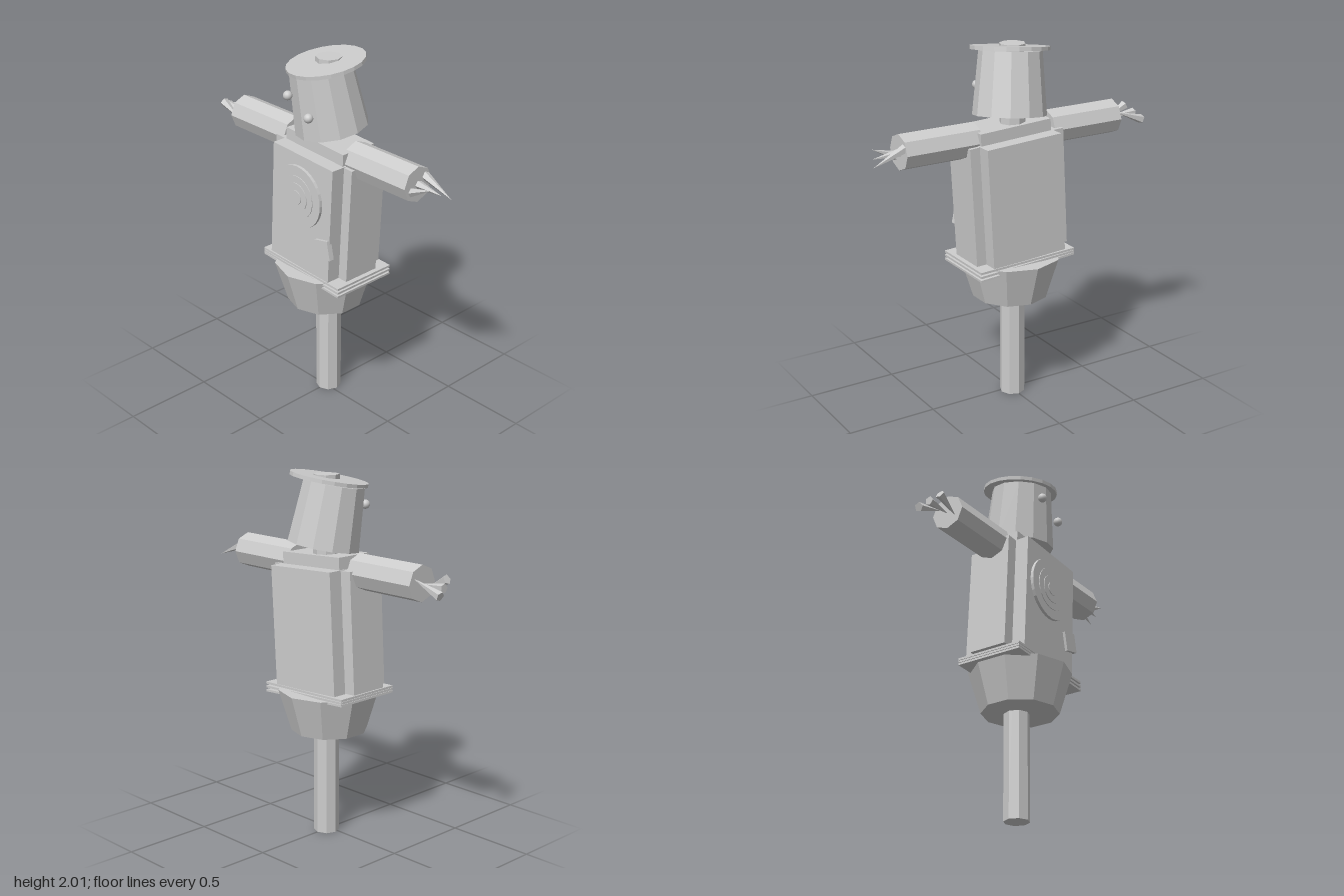
import * as THREE from 'three';

export function createModel() {
  const model = new THREE.Group();
  model.name = 'scarecrow';
  const grey = new THREE.MeshStandardMaterial({ color: 0xcccccc });
  grey.name = 'plainGrey';

  function add(name, geometry, position = [0, 0, 0], rotation = [0, 0, 0], parent = model, flat = true) {
    let geo = geometry;
    if (flat) {
      geo = geometry.index ? geometry.toNonIndexed() : geometry;
      geo.computeVertexNormals();
    }
    const mesh = new THREE.Mesh(geo, grey);
    mesh.name = name;
    mesh.position.set(...position);
    mesh.rotation.set(...rotation);
    parent.add(mesh);
    return mesh;
  }
  const cyl = (top, bottom, height, sides) => new THREE.CylinderGeometry(top, bottom, height, sides);
  const deg = THREE.MathUtils.degToRad;

  // Pole running right through to the hat
  add('pole', cyl(0.07, 0.07, 1.99, 8), [0, 0.995, -0.022]);

  // Ten-sided skirt
  add('skirt', cyl(0.28, 0.21, 0.23, 10), [0, 0.705, 0]);

  // Leaning torso made of crossed boxes
  const torso = new THREE.Group();
  torso.name = 'torso';
  torso.position.set(0.005, 1.175, 0);
  torso.rotation.z = deg(-3.1);
  model.add(torso);
  add('torsoFrontBack', new THREE.BoxGeometry(0.45, 0.66, 0.38), [0.005, 0, 0], [0, 0, 0], torso);
  add('torsoSides', new THREE.BoxGeometry(0.575, 0.655, 0.22), [0, 0, 0], [0, 0, 0], torso);
  add('shoulders', new THREE.BoxGeometry(0.43, 0.1, 0.22), [0.005, 0.345, 0], [0, 0, 0], torso);

  // Stacked ragged belt plates
  for (let i = 0; i < 3; i++) {
    add('beltPlate', new THREE.BoxGeometry(0.59, 0.012, 0.39),
      [0.005, 0.838 - i * 0.018, 0], [0, 0, deg(-2.2 - i * 0.8)]);
  }

  // Stepped round chest badge
  [[0.175, 0.207], [0.12, 0.211], [0.08, 0.215], [0.04, 0.219]].forEach(([r, front]) => {
    add('chestDisc', cyl(r, r, front - 0.18, 32), [0, 1.27, (front + 0.18) / 2], [Math.PI / 2, 0, 0]);
  });

  // Crooked patch
  add('patch', new THREE.BoxGeometry(0.095, 0.108, 0.03), [0.19, 1.026, 0.19], [0, 0, deg(12)]);

  // Octagonal sleeves on a crossbar
  add('crossbar', cyl(0.05, 0.05, 1.2, 8), [0, 1.5, 0], [0, 0, Math.PI / 2]);
  for (const side of [1, -1]) {
    add(side > 0 ? 'leftSleeve' : 'rightSleeve', cyl(0.096, 0.096, 0.437, 8),
      [side * 0.4435, 1.502, 0], [0, 0, Math.PI / 2]);
  }

  // Straw cones, all pointing towards +x
  function straw(name, base, tip) {
    const a = new THREE.Vector3(...base);
    const b = new THREE.Vector3(...tip);
    const dir = b.clone().sub(a);
    const mesh = add(name, cyl(0, 0.026, dir.length(), 5), a.clone().add(b).multiplyScalar(0.5).toArray());
    mesh.quaternion.setFromUnitVectors(new THREE.Vector3(0, 1, 0), dir.normalize());
  }
  [[0.835, 1.46, 1.535, -0.055], [0.815, 1.49, 1.5, -0.005], [0.79, 1.525, 1.47, 0.045]]
    .forEach(([reach, outerY, innerY, z]) => {
      straw('leftStraw', [0.65, innerY, z], [reach, outerY, z]);
      straw('rightStraw', [-reach + 0.005, outerY + 0.01, z], [-0.65, innerY, z]);
    });

  // Tilted bucket head with a brim on top
  const tilt = [deg(8), 0, deg(6)];
  add('head', cyl(0.168, 0.197, 0.335, 12), [0.002, 1.775, -0.002], tilt);
  add('hatBrim', cyl(0.21, 0.21, 0.02, 20), [0.002, 1.962, 0], tilt);

  // Button eyes
  for (const [x, y] of [[-0.07, 1.815], [0.085, 1.735]]) {
    add('eye', new THREE.SphereGeometry(0.025, 16, 12), [x, y, 0.2], [0, 0, 0], model, false);
  }

  return model;
}
